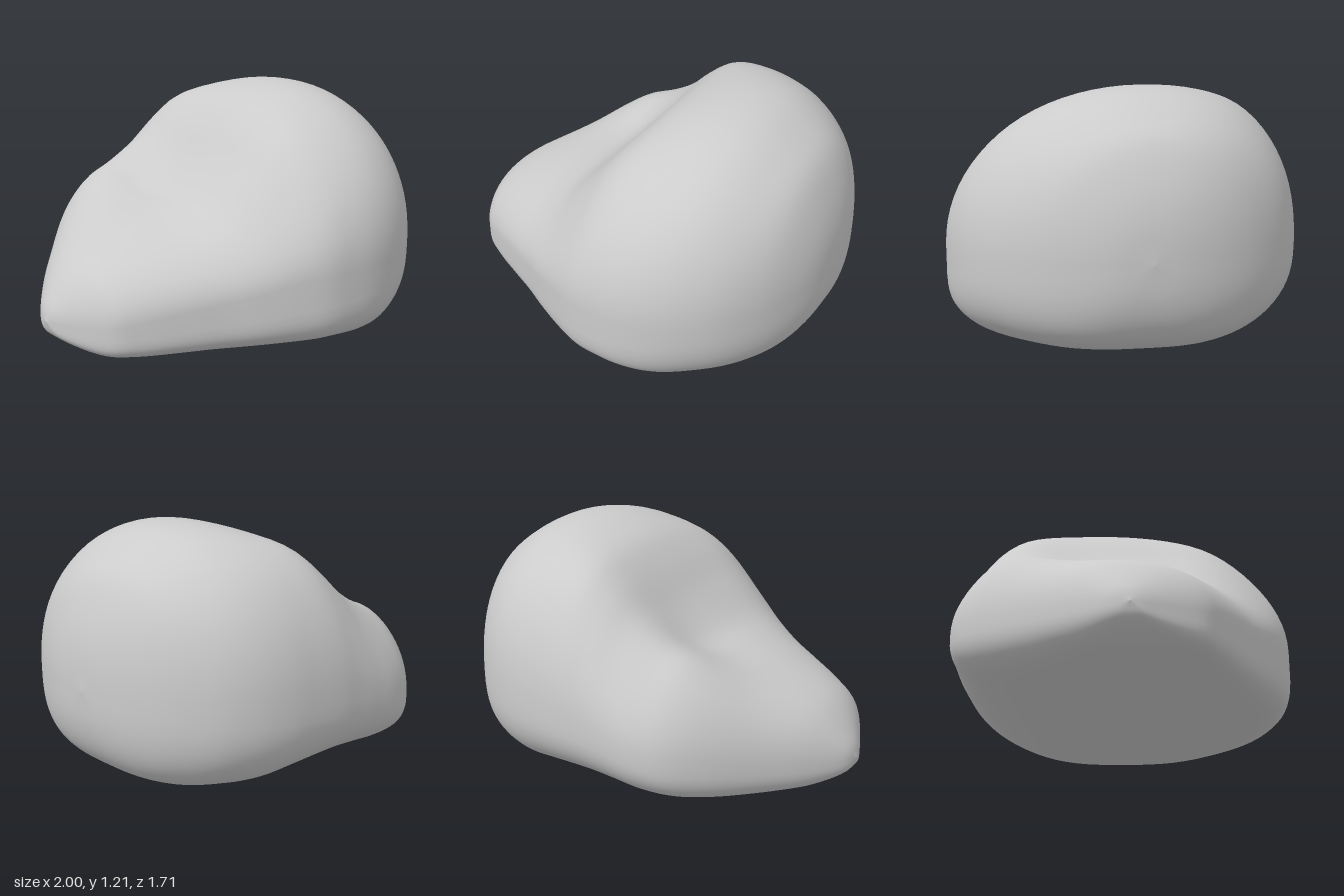
import * as THREE from 'three';

// Cross-sections along x: [x, bottom y, top y, widest y, back z, front z]
const SECTIONS = [
  [-1.0, 0.2, 0.2, 0.2, 0, 0],
  [-0.97, 0.13, 0.29, 0.2, -0.1, 0.1],
  [-0.86, 0.07, 0.44, 0.22, -0.27, 0.32],
  [-0.73, 0.05, 0.53, 0.25, -0.44, 0.42],
  [-0.55, 0.045, 0.61, 0.29, -0.66, 0.52],
  [-0.4, 0.045, 0.66, 0.32, -0.79, 0.6],
  [-0.25, 0.045, 0.72, 0.36, -0.845, 0.69],
  [-0.1, 0.045, 0.86, 0.4, -0.855, 0.77],
  [0.03, 0.045, 1.02, 0.42, -0.855, 0.825],
  [0.15, 0.04, 1.13, 0.43, -0.855, 0.845],
  [0.3, 0.02, 1.19, 0.44, -0.84, 0.85],
  [0.45, 0.0, 1.21, 0.45, -0.815, 0.82],
  [0.6, 0.01, 1.185, 0.46, -0.76, 0.75],
  [0.74, 0.035, 1.11, 0.47, -0.665, 0.64],
  [0.86, 0.095, 1.01, 0.48, -0.52, 0.485],
  [0.94, 0.19, 0.85, 0.49, -0.36, 0.32],
  [0.985, 0.32, 0.68, 0.49, -0.19, 0.16],
  [1.0, 0.49, 0.49, 0.49, -0.02, -0.02],
];

// Swellings and hollows of the upper surface: [x, z, radius, height]
const MOUNDS = [
  [-0.32, -0.6, 0.29, 0.145], // back corner lump
  [-0.2, -0.24, 0.22, -0.035], // hollow beside it
  [-0.1, 0.46, 0.25, 0.075], // front shoulder
  [0.15, -0.64, 0.26, 0.07], // back shoulder
];

const ROWS = 85, SIDES = 80;

const curve = (a, b, c) => new THREE.CatmullRomCurve3(
  SECTIONS.map((s) => new THREE.Vector3(s[a], s[b], s[c])), false, 'catmullrom', 0.5);

const relief = (x, z) => MOUNDS.reduce(
  (sum, [mx, mz, r, h]) => sum + h * Math.exp(-((x - mx) ** 2 + (z - mz) ** 2) / (r * r)), 0);

function boulderGeometry() {
  const heights = curve(0, 1, 2), widths = curve(3, 4, 5);
  const positions = [], index = [];
  for (let i = 0; i <= ROWS; i++) {
    const h = heights.getPoint(i / ROWS), w = widths.getPoint(i / ROWS);
    const x = h.x, mid = w.x;
    const crown = w.y + (w.z - w.y) * 0.46;
    // the lower front edge is crisp, and softens toward the tall end
    const frontUnder = 0.36 + 0.29 * THREE.MathUtils.smoothstep(x, 0.05, 0.8);
    for (let j = 0; j < SIDES; j++) {
      const a = (j / SIDES) * Math.PI * 2;
      const c = Math.cos(a), s = Math.sin(a);
      // rounder above, boxier underneath and at the back
      const p = s > 0 ? (c < 0 ? 0.87 : 0.97) : (c < 0 ? 0.77 : frontUnder);
      const cp = Math.sign(c) * Math.abs(c) ** p, sp = Math.abs(s) ** p;
      const z = crown + (c > 0 ? w.z - crown : crown - w.y) * cp;
      const y = s > 0 ? mid + (h.z - mid + relief(x, z)) * sp : mid - (mid - h.y) * sp;
      positions.push(x, y, z);
    }
  }
  for (let i = 0; i < ROWS; i++) {
    for (let j = 0; j < SIDES; j++) {
      const k = (j + 1) % SIDES;
      const a = i * SIDES + j, b = a + SIDES, c = i * SIDES + k, d = c + SIDES;
      index.push(a, b, c, c, b, d);
    }
  }
  const g = new THREE.BufferGeometry();
  g.setAttribute('position', new THREE.Float32BufferAttribute(positions, 3));
  g.setIndex(index);
  g.computeVertexNormals();
  return g;
}

export function createModel() {
  const group = new THREE.Group();
  group.name = 'rock';
  const boulder = new THREE.Mesh(boulderGeometry(), new THREE.MeshStandardMaterial({ color: 0xcccccc }));
  boulder.name = 'boulder';
  group.add(boulder);
  return group;
}
